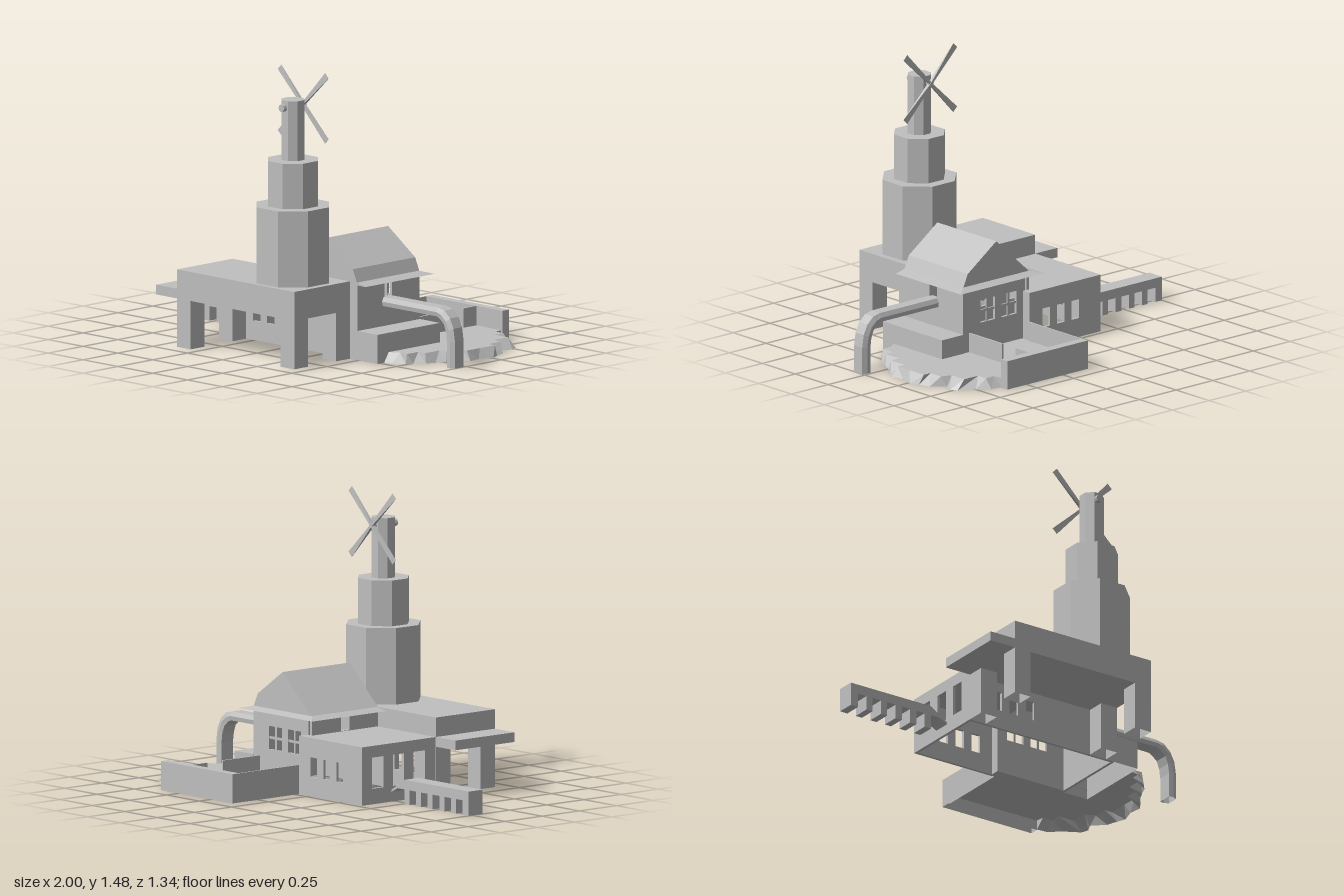
import * as THREE from 'three';

const grey = new THREE.MeshStandardMaterial({ color: 0xbfbfbf, side: THREE.DoubleSide });
grey.name = 'plain grey';
grey.flatShading = true;

export function createModel() {
  const model = new THREE.Group();

  const add = (name, geo, parent = model) => {
    const m = new THREE.Mesh(geo, grey);
    m.name = name;
    parent.add(m);
    return m;
  };
  // Box given by its two extreme corners
  const box = (name, x0, x1, y0, y1, z0, z1, parent) => {
    const g = new THREE.BoxGeometry(x1 - x0, y1 - y0, z1 - z0);
    g.translate((x0 + x1) / 2, (y0 + y1) / 2, (z0 + z1) / 2);
    return add(name, g, parent);
  };
  // Box standing on the ground, without its bottom face
  const openBox = (...args) => {
    const g = box(...args).geometry;
    g.clearGroups();
    g.setIndex([...g.index.array].filter((_, i) => i < 18 || i >= 24));
  };
  const polygon = (pts) => new THREE.Shape(pts.map(([x, y]) => new THREE.Vector2(x, y)));
  const rect = (u0, u1, v0, v1) => polygon([[u0, v0], [u1, v0], [u1, v1], [u0, v1]]);
  const extrude = (shape, depth) => new THREE.ExtrudeGeometry(shape, { depth, bevelEnabled: false });
  // Upright wall with rectangular holes [u0, u1, v0, v1]
  const T = 0.015;
  const wall = (u0, u1, v0, v1, holes) => {
    const s = rect(u0, u1, v0, v1);
    holes.forEach((h) => s.holes.push(rect(...h)));
    return extrude(s, T);
  };
  const wallZ = (name, z, u0, u1, v0, v1, holes = []) => { // z is the back face
    add(name, wall(u0, u1, v0, v1, holes).translate(0, 0, z));
  };
  const wallX = (name, x, u0, u1, v0, v1, holes = []) => { // x is the right-hand face
    add(name, wall(u0, u1, v0, v1, holes).rotateY(-Math.PI / 2).translate(x, 0, 0));
  };
  const flat = (positions) => {
    const g = new THREE.BufferGeometry();
    g.setAttribute('position', new THREE.Float32BufferAttribute(positions, 3));
    g.computeVertexNormals();
    return g;
  };

  // Raised porch on four legs, with a side ledge
  box('porchDeck', -0.405, 0.436, 0.25, 0.4, 0.272, 0.67);
  for (const [x0, x1] of [[-0.405, -0.308], [0.337, 0.436]]) {
    for (const [z0, z1] of [[0.272, 0.37], [0.572, 0.67]]) openBox('porchLeg', x0, x1, 0, 0.25, z0, z1);
  }
  box('porchLedge', -0.555, -0.405, 0.25, 0.3, 0.272, 0.67);

  // Low wing with windows, open below
  const windows = [-0.233, -0.133, -0.033].map((x) => [x - 0.026, x + 0.026, 0.1, 0.2]);
  wallZ('wingFrontWall', 0.27 - T, -0.405, 0.04, 0, 0.29, windows);
  wallZ('wingBackWall', -0.225, -0.405, 0.08, 0, 0.29, windows);
  wallX('wingSideWall', -0.405 + T, -0.225 + T, 0.27 - T, 0, 0.29,
    [-0.12, 0.02, 0.16].map((z) => [z - 0.038, z + 0.038, 0.08, 0.24]));
  wallX('wingReturnWall', 0.08, -0.225 + T, -0.175, 0, 0.29);
  box('wingRoof', -0.405, 0.08, 0.29, 0.3, -0.225, 0.27);

  // Main house, open to the wing below its roof
  const houseWindows = [[0.125, 0.225], [0.27, 0.37]];
  wallZ('houseFrontWall', 0.27 - T, 0.04, 0.489, 0, 0.39);
  wallZ('houseBackWall', -0.175, 0.065, 0.489, 0, 0.39, houseWindows.map(([a, b]) => [a, b, 0.19, 0.31]));
  houseWindows.forEach(([a, b]) => {
    const c = (a + b) / 2;
    box('windowBar', c - 0.006, c + 0.006, 0.19, 0.31, -0.172, -0.164);
    box('windowBar', a, b, 0.244, 0.256, -0.172, -0.164);
  });
  wallX('houseRightWall', 0.489, -0.175 + T, 0.27 - T, 0, 0.39, [[0.023, 0.077, 0.26, 0.38]]);
  wallX('houseLeftWall', 0.04 + T, -0.175, 0.27 - T, 0.3, 0.39, [[0.023, 0.077, 0.302, 0.38]]);
  openBox('houseStep', 0.489, 0.633, 0, 0.15, -0.178, 0.27);

  // Sloping eaves: a slab whose top is drawn in on three sides
  const eaves = new THREE.BoxGeometry(1, 1, 1);
  const ep = eaves.attributes.position;
  for (let i = 0; i < ep.count; i++) {
    const top = ep.getY(i) > 0;
    const x = ep.getX(i) > 0 ? (top ? 0.487 : 0.547) : (top ? 0.04 : -0.02);
    const z = ep.getZ(i) > 0 ? 0.27 : (top ? -0.175 : -0.225);
    ep.setXYZ(i, x, top ? 0.4 : 0.385, z);
  }
  eaves.computeVertexNormals();
  add('eaves', eaves);
  const roof = polygon([[0.04, 0.398], [0.487, 0.398], [0.457, 0.465], [0.263, 0.6]]);
  add('roof', extrude(roof, 0.447).translate(0, 0, -0.176));

  // Octagonal stepped tower
  for (const [name, width, y0, y1] of [
    ['towerBase', 0.367, 0.4, 0.793], ['towerMiddle', 0.253, 0.793, 1.028], ['towerTop', 0.116, 1.028, 1.337],
  ]) {
    const r = width / 2 / Math.cos(Math.PI / 8);
    const g = new THREE.CylinderGeometry(r, r, y1 - y0, 8, 1, false, Math.PI / 8);
    add(name, g.translate(0.216, (y0 + y1) / 2, 0.46));
  }

  // Windmill rotor on an axle through the tower
  const rotor = new THREE.Group();
  rotor.name = 'rotor';
  rotor.position.set(0.212, 1.3, 0.382);
  model.add(rotor);
  const rod = (name, r, z0, z1) => {
    const g = new THREE.CylinderGeometry(r, r, z1 - z0, 8).rotateX(Math.PI / 2);
    add(name, g.translate(0, 0, (z0 + z1) / 2), rotor);
  };
  rod('axleEnd', 0.02, 0.12, 0.157);
  rod('hub', 0.012, -0.012, 0.03);
  // Blades widen and grow thinner toward the tip
  const blade = extrude(polygon([[-0.006, 0], [0.006, 0], [0.018, 0.24], [-0.018, 0.24]]), 0.02);
  blade.translate(0, 0, -0.01);
  const bp = blade.attributes.position;
  for (let i = 0; i < bp.count; i++) bp.setZ(i, bp.getZ(i) * (1 - 3.9 * bp.getY(i)));
  blade.computeVertexNormals();
  for (let i = 0; i < 4; i++) add('blade', blade, rotor).rotation.z = Math.PI / 4 + i * Math.PI / 2;

  // Footbridge on short piers, with a ramp at the house end
  const outline = [[-1, 0]];
  for (let i = 0; i < 6; i++) {
    const x = -0.955 + i * 0.09;
    outline.push([x, 0], [x, 0.075], [x + 0.052, 0.075], [x + 0.052, 0]);
  }
  outline.pop();
  outline.push([-0.405, 0.05], [-0.405, 0.062], [-0.507, 0.125], [-1, 0.125]);
  add('footbridge', extrude(polygon(outline), 0.095).translate(0, 0, -0.027));

  // Back yard walls
  openBox('yardBackWall', 0.082, 0.633, 0, 0.15, -0.673, -0.625);
  openBox('yardSideWall', 0.082, 0.09, 0, 0.15, -0.625, -0.225);
  box('yardDivider', 0.438, 0.448, 0.05, 0.15, -0.625, -0.53);
  box('yardDivider', 0.438, 0.448, 0.05, 0.15, -0.425, -0.175);

  // Rocky ground sheet: each row is top x, z and foot x, z
  const bank = [
    [0.63, -0.62, 0.63, -0.62], [0.635, -0.575, 0.69, -0.615], [0.69, -0.575, 0.75, -0.565],
    [0.69, -0.515, 0.835, -0.52], [0.785, -0.515, 0.85, -0.48], [0.785, -0.42, 0.825, -0.43],
    [0.84, -0.4, 0.89, -0.37], [0.84, -0.32, 0.91, -0.31], [0.885, -0.32, 0.93, -0.265],
    [0.885, -0.21, 0.905, -0.185], [0.885, -0.12, 0.915, -0.115], [0.84, -0.12, 0.88, -0.06],
    [0.84, -0.02, 0.845, -0.01], [0.785, -0.02, 0.82, 0.04], [0.785, 0.08, 0.8, 0.09],
    [0.735, 0.08, 0.76, 0.14], [0.735, 0.16, 0.735, 0.17], [0.685, 0.16, 0.68, 0.215],
    [0.633, 0.19, 0.633, 0.222],
  ];
  const yard = [[0.633, -0.175], [0.086, -0.175], [0.086, -0.625]];
  const top = polygon([...bank.map((p) => [p[0], p[1]]), ...yard].map(([x, z]) => [x, -z]));
  const ground = new THREE.Group();
  ground.name = 'rockyGround';
  model.add(ground);
  add('groundTop', new THREE.ShapeGeometry(top).rotateX(-Math.PI / 2).translate(0, 0.05, 0), ground);
  const sides = [];
  for (let i = 0; i < bank.length - 1; i++) {
    const [a, b, c, d] = bank[i], [e, f, g, h] = bank[i + 1];
    sides.push(a, 0.05, b, e, 0.05, f, c, 0, d, e, 0.05, f, g, 0, h, c, 0, d);
  }
  add('groundEdge', flat(sides), ground);

  // Curved chute: bevelled cross-sections along outer and inner x, y points
  const chute = [
    [0.47, 0.3, 0.47, 0.255], [0.88, 0.3, 0.88, 0.255], [0.925, 0.29, 0.9, 0.245], [0.965, 0.255, 0.93, 0.22],
    [0.99, 0.205, 0.945, 0.18], [1, 0.14, 0.952, 0.13], [1, 0, 0.952, 0],
  ];
  const rings = chute.map(([ox, oy, ix, iy]) => {
    const at = (t, z) => [ox + (ix - ox) * t, oy + (iy - oy) * t, z];
    return [at(0, 0.02), at(0, 0.082), at(0.5, 0.094), at(1, 0.09), at(1, 0.012), at(0.5, 0.008)];
  });
  const skin = [];
  for (let i = 0; i < rings.length - 1; i++) {
    for (let j = 0; j < 6; j++) {
      const k = (j + 1) % 6;
      const a = rings[i][j], b = rings[i][k], c = rings[i + 1][j], d = rings[i + 1][k];
      skin.push(...a, ...b, ...c, ...b, ...d, ...c);
    }
  }
  add('chute', flat(skin));

  return model;
}
